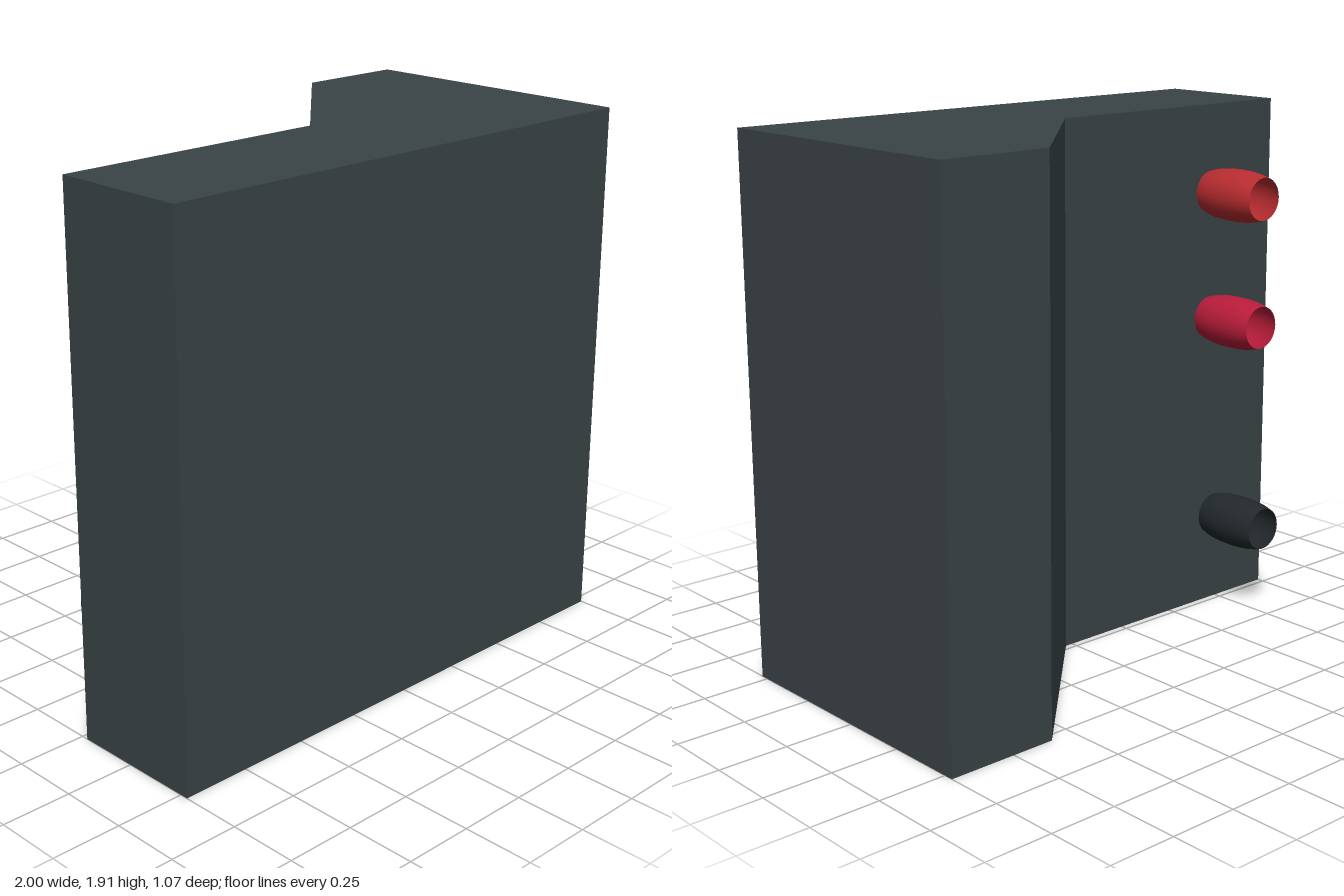
import * as THREE from 'three';

const HEIGHT = 1.91;
const BACK_Z = 0.025; // recessed part of the back face

export function createModel() {
  const model = new THREE.Group();
  model.name = 'wallBox';

  // Cabinet: plan outline (x, -z) raised to full height
  const outline = [[-1, -0.53], [1, -0.53], [1, 0.535], [0.59, 0.535], [0.03, -BACK_Z], [-1, -BACK_Z]];
  const cabinetGeometry = new THREE.ExtrudeGeometry(
    new THREE.Shape(outline.map(([x, y]) => new THREE.Vector2(x, y))),
    { depth: HEIGHT, bevelEnabled: false }
  );
  cabinetGeometry.rotateX(-Math.PI / 2);
  const cabinet = new THREE.Mesh(cabinetGeometry, new THREE.MeshStandardMaterial({ color: 0x3a4346 }));
  cabinet.name = 'cabinet';
  model.add(cabinet);

  // Sockets: open barrel-shaped sleeves standing out of the recessed back
  const length = 0.26;
  const profile = [];
  for (let i = 0; i <= 12; i++) {
    const t = i / 12;
    const bulge = 1 - Math.pow(Math.abs(2 * t - 1), 2.5);
    profile.push(new THREE.Vector2(0.078 + 0.017 * bulge, t * length));
  }
  const sleeve = new THREE.LatheGeometry(profile, 32);
  sleeve.rotateX(-Math.PI / 2);

  const sockets = [
    ['upperRedSocket', -0.69, 1.59, 0xb82c30],
    ['lowerRedSocket', -0.69, 1.12, 0xb81c3a],
    ['blackSocket', -0.73, 0.34, 0x22282b],
  ];
  for (const [name, x, y, color] of sockets) {
    const socket = new THREE.Mesh(sleeve, new THREE.MeshStandardMaterial({ color, side: THREE.DoubleSide }));
    socket.name = name;
    socket.position.set(x, y, BACK_Z);
    model.add(socket);
  }

  return model;
}
